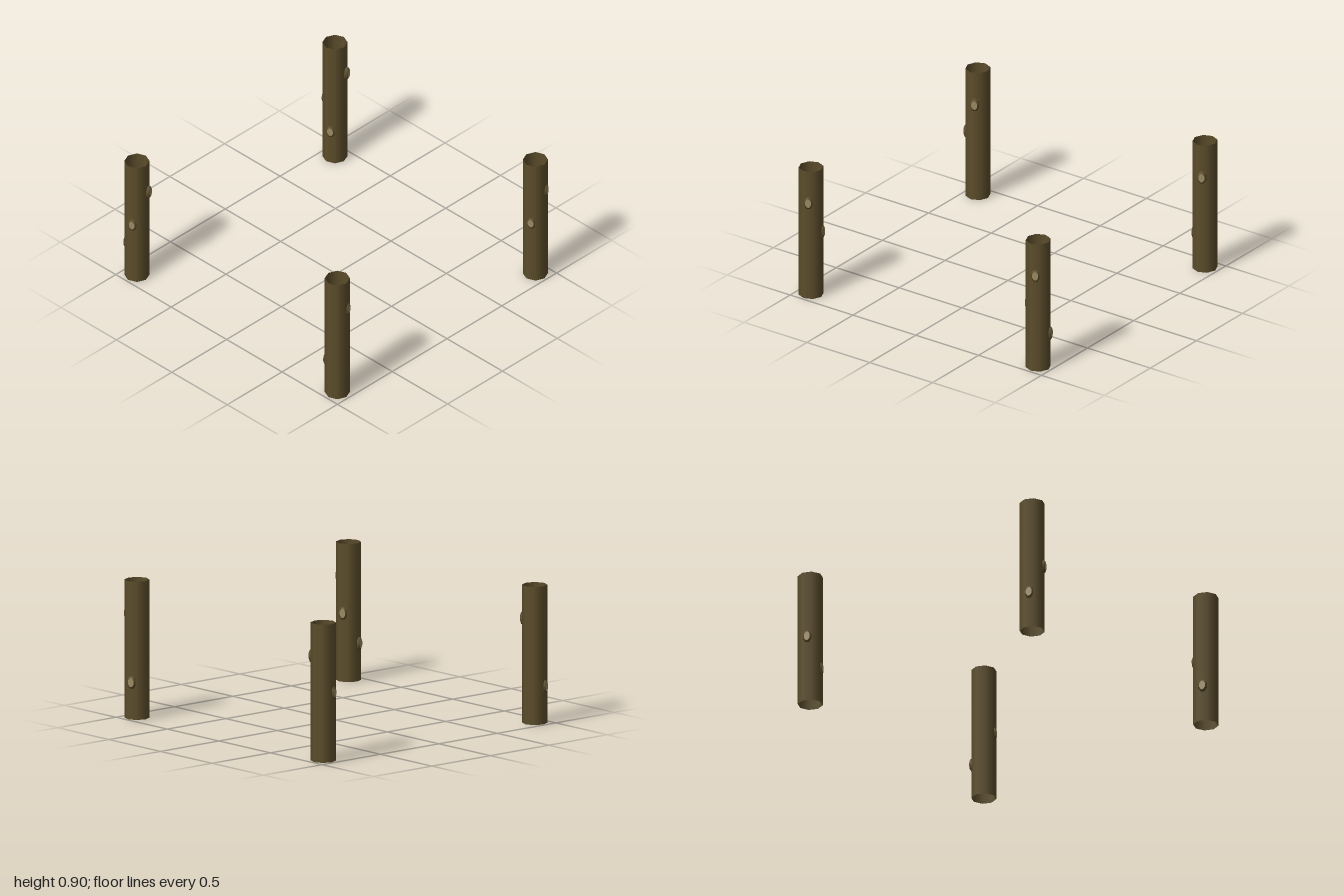
import * as THREE from 'three';

const HEIGHT = 0.905, RADIUS = 0.081, OFFSET = 0.904;

// Directions of the octagon faces that carry a cut branch (rotation about y, from +z)
const FRONT = Math.PI / 8;
const RIGHT = FRONT + Math.PI / 2;
const BACK = FRONT + Math.PI;
const LEFT = FRONT - Math.PI / 2;

// Each post: position signs, then knots as [face, height, reach from the post axis]
const POSTS = [
  { name: 'frontLeftPost', x: 1, z: 1, knots: [[RIGHT, 0.68, 0.084], [BACK, 0.45, 0.088], [LEFT, 0.245, 0.09]] },
  { name: 'backLeftPost', x: 1, z: -1, knots: [[RIGHT, 0.68, 0.084], [FRONT, 0.45, 0.083], [BACK, 0.245, 0.092]] },
  { name: 'frontRightPost', x: -1, z: 1, knots: [[RIGHT, 0.68, 0.097], [FRONT, 0.45, 0.09], [LEFT, 0.245, 0.086]] },
  { name: 'backRightPost', x: -1, z: -1, knots: [[RIGHT, 0.68, 0.097], [LEFT, 0.45, 0.084], [FRONT, 0.245, 0.084]] },
];

export function createModel() {
  const group = new THREE.Group();
  const bark = new THREE.MeshStandardMaterial({ color: 0x5c4d2b, side: THREE.DoubleSide });
  const wood = new THREE.MeshStandardMaterial({ color: 0x9a8a62 });

  // Open, hollow eight-sided trunk
  const trunkGeometry = new THREE.CylinderGeometry(RADIUS, RADIUS, HEIGHT, 8, 1, true);
  trunkGeometry.translate(0, HEIGHT / 2, 0);

  // Bark collar with a bevelled rim; its tip lies at z = 0 and it points along +z
  const collarGeometry = new THREE.LatheGeometry([
    new THREE.Vector2(0.044, -0.03),
    new THREE.Vector2(0.044, -0.007),
    new THREE.Vector2(0.031, 0),
  ], 8);
  collarGeometry.rotateX(Math.PI / 2).rotateZ(Math.PI / 8);
  const cutGeometry = new THREE.CircleGeometry(0.031, 8, Math.PI / 8);

  function makeKnot([angle, y, reach]) {
    const knot = new THREE.Group();
    knot.name = 'branchKnot';
    const collar = new THREE.Mesh(collarGeometry, bark);
    collar.name = 'knotCollar';
    const cut = new THREE.Mesh(cutGeometry, wood);
    cut.name = 'knotCutFace';
    knot.add(collar, cut);
    knot.scale.x = 0.68; // narrower than tall
    knot.position.set(Math.sin(angle) * reach, y, Math.cos(angle) * reach);
    knot.rotation.y = angle;
    return knot;
  }

  for (const { name, x, z, knots } of POSTS) {
    const post = new THREE.Group();
    post.name = name;
    const trunk = new THREE.Mesh(trunkGeometry, bark);
    trunk.name = 'trunk';
    post.add(trunk, ...knots.map(makeKnot));
    post.position.set(x * OFFSET, 0, z * OFFSET);
    group.add(post);
  }
  return group;
}
